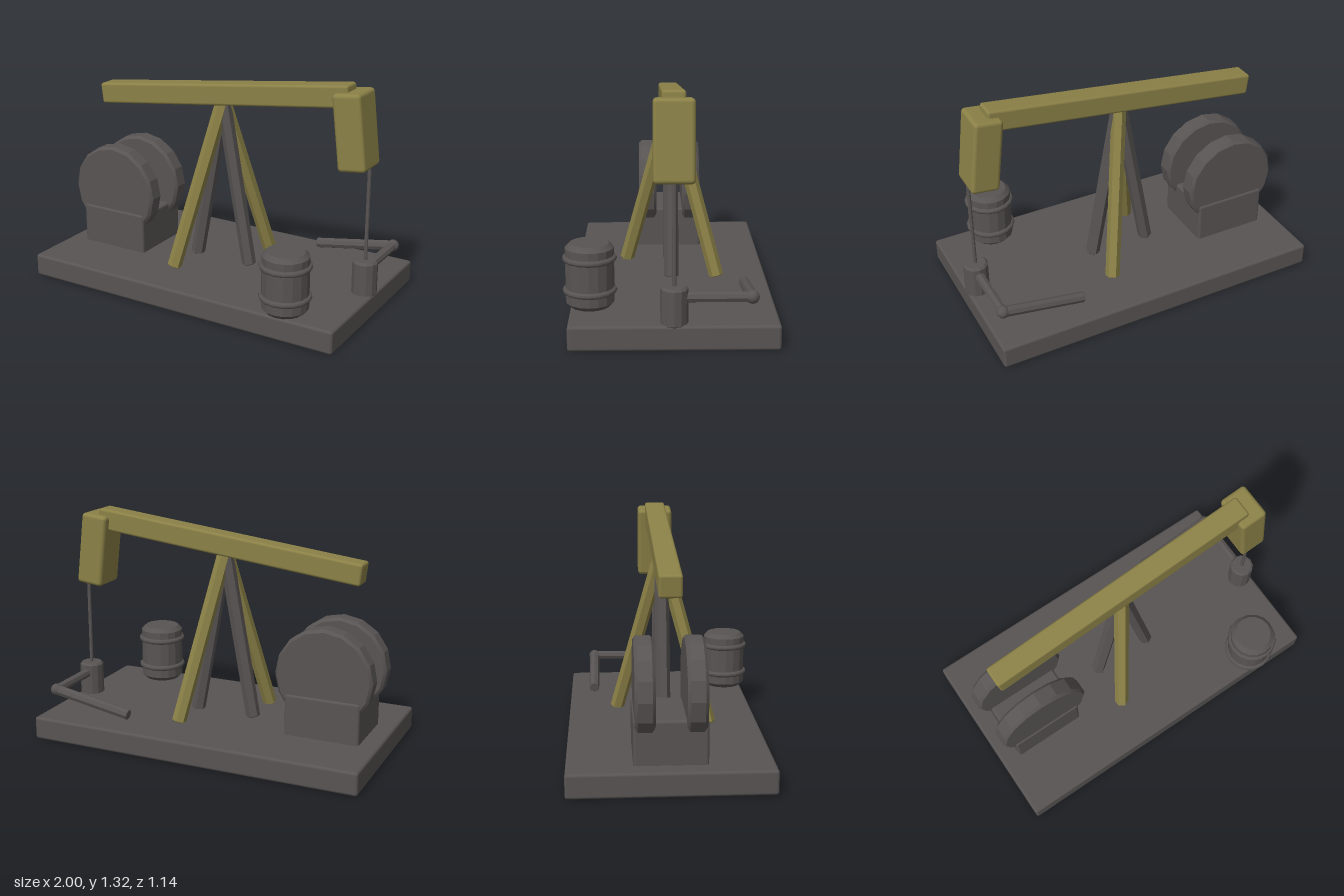
import * as THREE from 'three';
import { toCreasedNormals } from 'three/addons/utils/BufferGeometryUtils.js';
import { RoundedBoxGeometry } from 'three/addons/geometries/RoundedBoxGeometry.js';

const CENTER_Z = -0.02; // plane of the beam and pump

export function createModel() {
  const model = new THREE.Group();
  model.name = 'pumpJack';

  const olive = new THREE.MeshStandardMaterial({ color: 0x8b8147 });
  olive.name = 'olive paint';
  const grey = new THREE.MeshStandardMaterial({ color: 0x585453 });
  grey.name = 'dark grey steel';

  function add(name, geometry, material, x, y, z, parent = model) {
    const mesh = new THREE.Mesh(geometry, material);
    mesh.name = name;
    mesh.position.set(x, y, z);
    parent.add(mesh);
    return mesh;
  }

  // Box with softened edges
  const box = (w, h, d, r) => new RoundedBoxGeometry(w, h, d, 2, r);

  // Faceted cylinder along y with chamfered rims
  function drum(radius, height, sides, bevel) {
    const h = height / 2;
    const profile = [
      [0, -h], [radius - bevel, -h], [radius, -h + bevel],
      [radius, h - bevel], [radius - bevel, h], [0, h],
    ].map(([r, y]) => new THREE.Vector2(r, y));
    return toCreasedNormals(new THREE.LatheGeometry(profile, sides), 0.3);
  }

  // Faceted bar between two points
  function bar(name, from, to, radius, sides, material, parent = model) {
    const a = new THREE.Vector3(...from);
    const b = new THREE.Vector3(...to);
    const geometry = drum(radius, a.distanceTo(b), sides, radius * 0.1);
    const mid = a.clone().add(b).multiplyScalar(0.5);
    const mesh = add(name, geometry, material, mid.x, mid.y, mid.z, parent);
    mesh.quaternion.setFromUnitVectors(
      new THREE.Vector3(0, 1, 0), b.clone().sub(a).normalize());
    return mesh;
  }

  // Base slab
  add('base', box(1.99, 0.135, 1.1, 0.016), grey, -0.005, 0.0675, CENTER_Z);

  // Tilted walking beam and its head
  const tilt = 0.119;
  add('beam', box(1.65, 0.125, 0.125, 0.015), olive, -0.012, 1.158, CENTER_Z)
    .rotation.z = tilt;
  add('beamHead', box(0.165, 0.43, 0.215, 0.022), olive, 0.835, 1.068, CENTER_Z)
    .rotation.z = tilt;

  // Support legs: a splayed olive pair and an upright grey pair
  const legs = new THREE.Group();
  legs.name = 'supportLegs';
  model.add(legs);
  for (const s of [-1, 1]) {
    bar('oliveLeg', [s * 0.18, 0.135, CENTER_Z - s * 0.263],
      [0, 1.12, CENTER_Z], 0.042, 6, olive, legs);
    bar('greyLeg', [s * 0.18, 0.135, CENTER_Z],
      [0, 1.12, CENTER_Z], 0.042, 6, grey, legs);
  }

  // Counterweight wheels in their pedestal
  add('wheelPedestal', box(0.44, 0.255, 0.395, 0.016), grey, -0.67, 0.248, CENTER_Z);
  for (const s of [-1, 1]) {
    add('counterweightWheel', drum(0.285, 0.108, 16, 0.016), grey,
      -0.67, 0.488, CENTER_Z + s * 0.135).rotation.x = Math.PI / 2;
  }

  // Barrel with two hoops
  const barrel = new THREE.Group();
  barrel.name = 'barrel';
  barrel.position.set(0.658, 0, 0.425);
  model.add(barrel);
  add('barrelBody', drum(0.131, 0.35, 16, 0.025), grey, 0, 0.31, 0, barrel);
  for (const y of [0.225, 0.402]) {
    add('barrelHoop', new THREE.TorusGeometry(0.13, 0.017, 8, 16), grey, 0, y, 0, barrel)
      .rotation.x = Math.PI / 2;
  }

  // Wellhead and polished rod
  add('wellhead', drum(0.072, 0.21, 12, 0.012), grey, 0.924, 0.225, CENTER_Z);
  bar('pumpRod', [0.924, 0.3, CENTER_Z], [0.924, 0.92, CENTER_Z], 0.011, 8, grey);

  // Outlet pipe with an elbow
  const elbow = [0.924, 0.27, -0.422];
  bar('outletPipe', [0.924, 0.27, CENTER_Z], elbow, 0.028, 8, grey);
  add('pipeElbow', new THREE.SphereGeometry(0.036, 12, 8), grey, ...elbow);
  bar('dischargePipe', elbow, [0.437, 0.184, -0.422], 0.031, 8, grey);

  return model;
}
